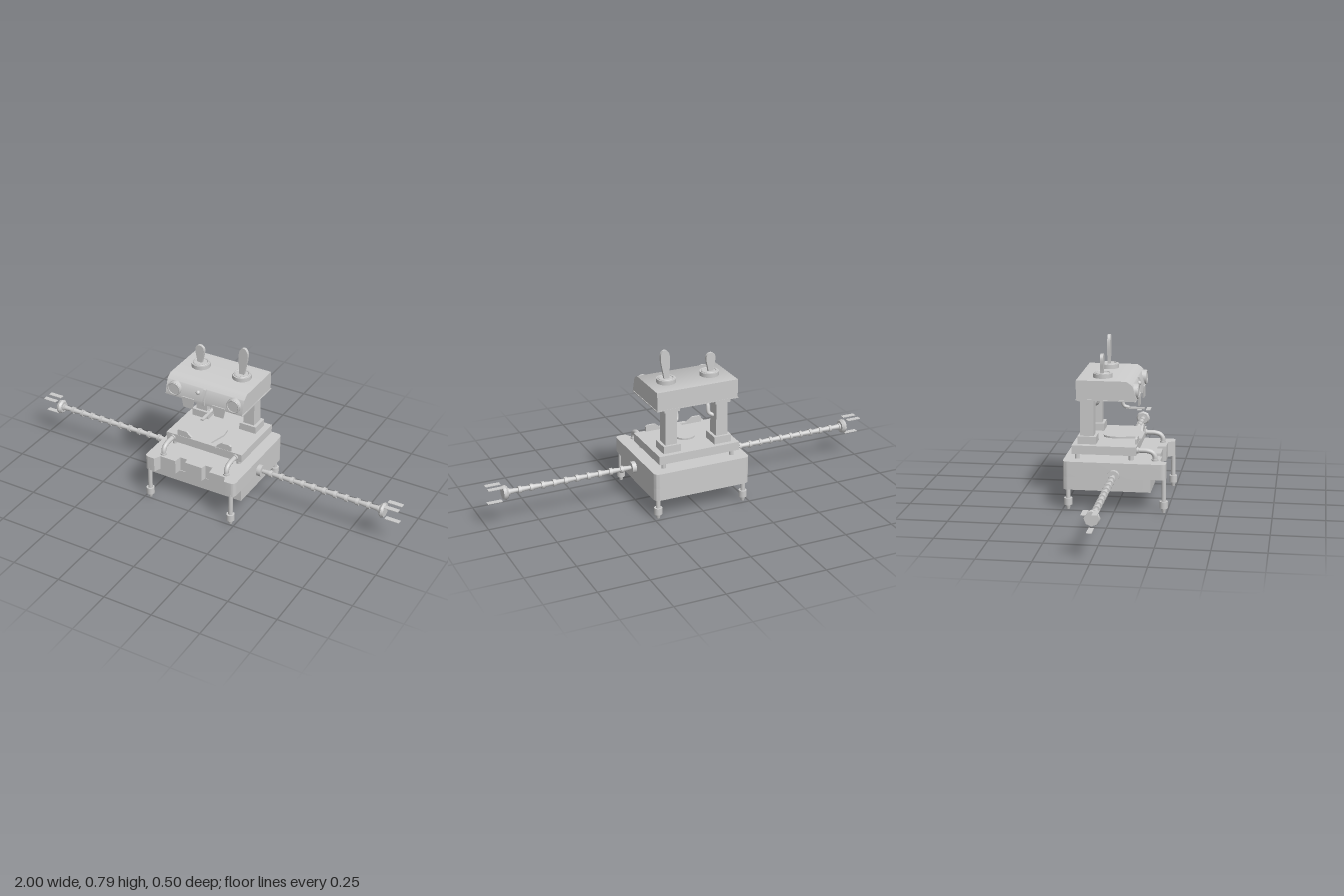
import * as THREE from 'three';
import { toCreasedNormals } from 'three/addons/utils/BufferGeometryUtils.js';

const mat = new THREE.MeshStandardMaterial({ color: 0xcccccc });
const V = (x, y, z) => new THREE.Vector3(x, y, z);

export function createModel() {
  const root = new THREE.Group();

  const add = (name, geo, x = 0, y = 0, z = 0, parent = root) => {
    const m = new THREE.Mesh(geo, mat);
    m.name = name;
    m.position.set(x, y, z);
    parent.add(m);
    return m;
  };
  // Box given by its limits
  const box = (name, x0, x1, y0, y1, z0, z1, parent = root) =>
    add(name, new THREE.BoxGeometry(x1 - x0, y1 - y0, z1 - z0),
      (x0 + x1) / 2, (y0 + y1) / 2, (z0 + z1) / 2, parent);
  // Upright cylinder given by its bottom and top
  const post = (name, rTop, rBottom, y0, y1, x, z, n = 20) =>
    add(name, new THREE.CylinderGeometry(rTop, rBottom, y1 - y0, n), x, (y0 + y1) / 2, z);
  const extrude = (shape, depth) => toCreasedNormals(
    new THREE.ExtrudeGeometry(shape, { depth, bevelEnabled: false, curveSegments: 10 }), 0.6);
  // Horizontal slab from a plan in x and z
  const slab = (name, shape, y0, y1) => add(name, extrude(shape, y1 - y0).rotateX(Math.PI / 2), 0, y1, 0);
  const tube = (name, points, r) => add(name, new THREE.TubeGeometry(
    new THREE.CatmullRomCurve3(points), 32, r, 12, false));
  const polygon = pts => new THREE.Shape(pts.map(p => new THREE.Vector2(p[0], p[1])));

  // Base: notched upper body over a set-back lower body, rounded at the back
  const backCorners = shape => shape
    .lineTo(0.25, -0.22).quadraticCurveTo(0.25, -0.25, 0.22, -0.25)
    .lineTo(-0.22, -0.25).quadraticCurveTo(-0.25, -0.25, -0.25, -0.22);
  const upper = new THREE.Shape().moveTo(-0.25, 0.22);
  upper.quadraticCurveTo(-0.25, 0.245, -0.225, 0.245);
  const front = [[0.195, 0.245], [0.18, 0.212], [0.095, 0.212], [0.09, 0.172], [0.052, 0.172], [0.046, 0.2]];
  front.forEach(p => upper.lineTo(-p[0], p[1]));
  [...front].reverse().forEach(p => upper.lineTo(p[0], p[1]));
  upper.lineTo(0.225, 0.245).quadraticCurveTo(0.25, 0.245, 0.25, 0.22);
  backCorners(upper);
  slab('baseUpper', upper, 0.165, 0.24);
  slab('baseLower', backCorners(new THREE.Shape().moveTo(-0.25, 0.175).lineTo(0.25, 0.175)), 0.102, 0.165);

  // Deck plate and the tray on it
  box('deck', -0.21, 0.21, 0.268, 0.31, -0.21, 0.1);
  const tray = new THREE.Shape().moveTo(-0.03, 0.1).lineTo(0.03, 0.1)
    .lineTo(0.055, 0.0).quadraticCurveTo(0.055, -0.085, 0, -0.085)
    .quadraticCurveTo(-0.055, -0.085, -0.055, 0.0);
  slab('tray', tray, 0.31, 0.319);
  const lip = polygon([[-0.15, 0.308], [0.15, 0.308], [0.15, 0.335], [0.14, 0.342], [0.1, 0.342],
    [0.07, 0.319], [-0.07, 0.319], [-0.1, 0.342], [-0.14, 0.342], [-0.15, 0.335]]);
  add('trayLip', extrude(lip, 0.01), 0, 0, 0.088);
  box('trayFrontEdge', -0.07, 0.07, 0.31, 0.319, 0.088, 0.11);

  // Head: side profile extruded across the width
  const profile = polygon([[-0.187, 0.533], [0.1, 0.533], [0.1, 0.545]]);
  profile.lineTo(0.082, 0.606).quadraticCurveTo(0.07, 0.617, 0.052, 0.627).lineTo(-0.187, 0.627);
  add('head', extrude(profile, 0.42).rotateY(-Math.PI / 2), 0.21, 0, 0);
  box('headRim', -0.213, 0.213, 0.531, 0.536, -0.188, 0.1);

  for (const s of [-1, 1]) {
    const side = s > 0 ? 'left' : 'right';

    // Legs with feet
    for (const [z, top] of [[0.235, 0.17], [-0.225, 0.105]]) {
      const x = s * 0.226;
      post(side + 'Leg', 0.011, 0.011, 0.05, top, x, z);
      post(side + 'Foot', 0.02, 0.02, 0.022, 0.056, x, z);
      post(side + 'FootTip', 0.013, 0.008, 0, 0.022, x, z);
    }

    // Deck supports and bent front pipes
    for (const z of [0.072, -0.188]) post(side + 'DeckSupport', 0.011, 0.011, 0.238, 0.27, s * 0.18, z);
    const px = s * 0.175;
    tube(side + 'Pipe', [V(px, 0.288, 0.095), V(px, 0.288, 0.12), V(px, 0.287, 0.15), V(px, 0.279, 0.174),
      V(px, 0.262, 0.186), V(px, 0.24, 0.187)], 0.012);
    post(side + 'PipeFlange', 0.016, 0.016, 0.238, 0.248, px, 0.187);
    add(side + 'PipeCollar', new THREE.CylinderGeometry(0.016, 0.016, 0.01, 20).rotateX(Math.PI / 2), px, 0.288, 0.103);

    // Pillar carrying the head
    const cx = s * 0.133;
    box(side + 'PillarBase', cx - 0.045, cx + 0.045, 0.31, 0.347, -0.187, -0.097);
    box(side + 'Pillar', cx - 0.03, cx + 0.03, 0.347, 0.533, -0.175, -0.11);
    box(side + 'PillarCap', cx - 0.04, cx + 0.04, 0.518, 0.533, -0.187, -0.108);

    // Curved cable from the head to the pillar
    tube(side + 'Cable', [V(s * 0.07, 0.535, 0), V(s * 0.072, 0.526, -0.04), V(s * 0.078, 0.521, -0.085),
      V(s * 0.085, 0.495, -0.115), V(s * 0.085, 0.455, -0.13), V(s * 0.105, 0.442, -0.14)], 0.01);

    // Round lamp and flap on the head's front
    const lamp = add(side + 'Lamp', new THREE.CylinderGeometry(0.036, 0.036, 0.03, 28).rotateX(Math.PI / 2),
      s * 0.162, 0.573, 0.09);
    add(side + 'LampRing', new THREE.TorusGeometry(0.031, 0.004, 8, 28), 0, 0, 0.014, lamp);
    const flap = polygon([[-0.035, 0.545], [-0.024, 0.49], [0.024, 0.49], [0.035, 0.545]]);
    add(side + 'Flap', extrude(flap, 0.008), s * 0.085, 0, 0.097);

    // Dial on top with an upright paddle
    const dx = s * 0.113;
    post(side + 'Dial', 0.047, 0.047, 0.625, 0.647, dx, -0.073, 32);
    add(side + 'DialRing', new THREE.TorusGeometry(0.036, 0.004, 8, 32).rotateX(Math.PI / 2), dx, 0.647, -0.073);
    const h = s > 0 ? 0.145 : 0.094;
    const paddle = new THREE.Shape().moveTo(-0.013, 0).lineTo(0.013, 0)
      .bezierCurveTo(0.016, h * 0.35, 0.026, h * 0.5, 0.023, h * 0.8)
      .bezierCurveTo(0.018, h * 1.06, -0.018, h * 1.06, -0.023, h * 0.8)
      .bezierCurveTo(-0.026, h * 0.5, -0.016, h * 0.35, -0.013, 0);
    add(side + 'Paddle', extrude(paddle, 0.015), s > 0 ? 0.113 : -0.118, 0.646, -0.082).rotation.z = s > 0 ? -0.07 : 0;

    // Jointed arm, built along +x and turned for the other side
    const arm = new THREE.Group();
    arm.name = side + 'Arm';
    arm.position.set(0, 0.179, -0.002);
    if (s < 0) arm.rotation.y = Math.PI;
    root.add(arm);
    const rod = (name, r0, r1, x0, x1, n) => add(name,
      new THREE.CylinderGeometry(r1, r0, x1 - x0, n).rotateZ(-Math.PI / 2), (x0 + x1) / 2, 0, 0, arm);
    rod('armCollar', 0.029, 0.029, 0.24, 0.272, 16);
    const n = 11, x0 = 0.27, step = (0.905 - x0) / n;
    for (let i = 0; i < n; i++) {
      const a = x0 + i * step;
      rod('armSegment', 0.01, 0.014, a, a + step * 0.8, 14);
      rod('armJoint', 0.018, 0.017, a + step * 0.75, a + step, 14);
    }
    rod('hand', 0.03, 0.038, 0.9, 0.911, 8);
    rod('handRim', 0.038, 0.034, 0.911, 0.924, 8);
    for (const [y, z] of [[0.039, 0.024], [0.039, -0.024], [-0.04, 0]])
      box('finger', 0.927, 1, y - 0.0015, y + 0.0015, z - 0.012, z + 0.012, arm);
  }

  // Nose ridge, side button and curved spout under the head
  add('nose', extrude(polygon([[0.04, 0.53], [0.108, 0.53], [0.11, 0.56], [0.09, 0.608], [0.06, 0.61]]), 0.014)
    .rotateY(-Math.PI / 2), 0.007, 0, 0);
  add('button', new THREE.SphereGeometry(0.011, 14, 10), -0.035, 0.585, 0.092);
  tube('spout', [V(0, 0.533, 0.095), V(0, 0.525, 0.07), V(0, 0.52, 0.035), V(0, 0.51, 0.015),
    V(0, 0.485, 0.008), V(0, 0.462, 0.016), V(0, 0.455, 0.04)], 0.009);
  box('spoutTip', -0.007, 0.007, 0.449, 0.457, 0.025, 0.115);

  return root;
}
